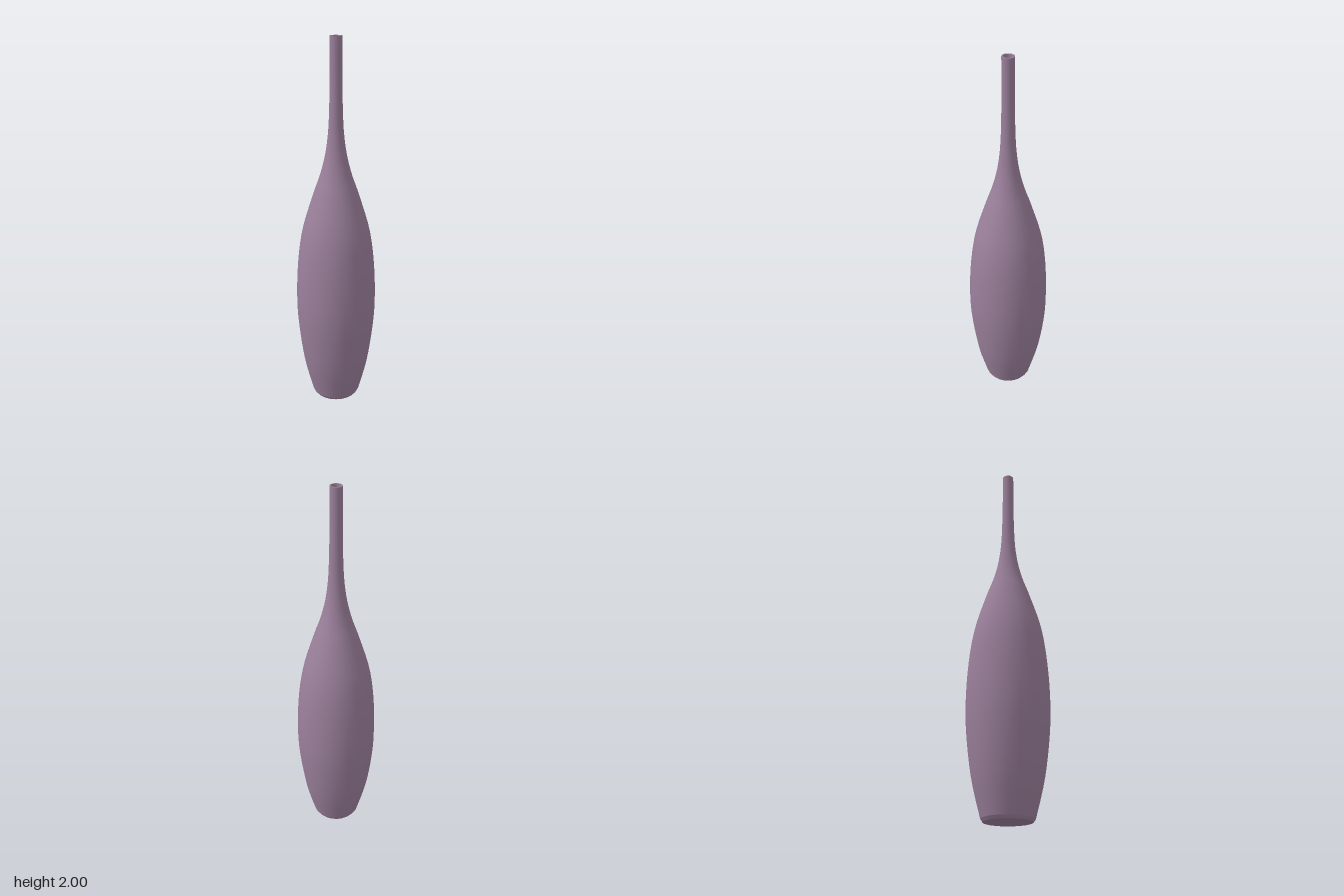
import * as THREE from 'three';

const SEGMENTS = 24;

// Smooth curve through [radius, height] points, sampled for a lathe
function profile(points, samples) {
  const curve = new THREE.SplineCurve(points.map(([r, y]) => new THREE.Vector2(r, y)));
  return curve.getPoints(samples);
}

export function createModel() {
  const glaze = new THREE.MeshStandardMaterial({ color: 0x9b809b });
  glaze.name = 'mauve glaze';

  const vase = new THREE.Group();
  vase.name = 'vase';

  function turn(name, points) {
    const mesh = new THREE.Mesh(new THREE.LatheGeometry(points, SEGMENTS), glaze);
    mesh.name = name;
    vase.add(mesh);
  }
  const v = (r, y) => new THREE.Vector2(r, y);

  // Swelling body running up into the slender neck
  const outer = [
    [0.132, 0.015], [0.178, 0.2], [0.206, 0.4], [0.216, 0.58], [0.207, 0.8],
    [0.179, 1.0], [0.119, 1.2], [0.084, 1.3], [0.058, 1.4], [0.043, 1.5],
    [0.036, 1.6], [0.032, 1.75], [0.031, 1.88], [0.031, 2.0],
  ];
  turn('body', profile(outer, 48));

  // Narrow bevel at the foot and flat underside
  turn('footBevel', [v(0.122, 0), v(0.132, 0.015)]);
  turn('underside', [v(0, 0), v(0.122, 0)]);

  // Flat lip, hollow inside wall and inside floor
  turn('rim', [v(0.031, 2), v(0.024, 2)]);
  const inner = outer.slice(1).reverse().map(([r, y]) => [r - 0.007, y]);
  turn('innerWall', profile([...inner, [0.125, 0.02]], 36));
  turn('innerFloor', [v(0.125, 0.02), v(0, 0.02)]);

  return vase;
}
